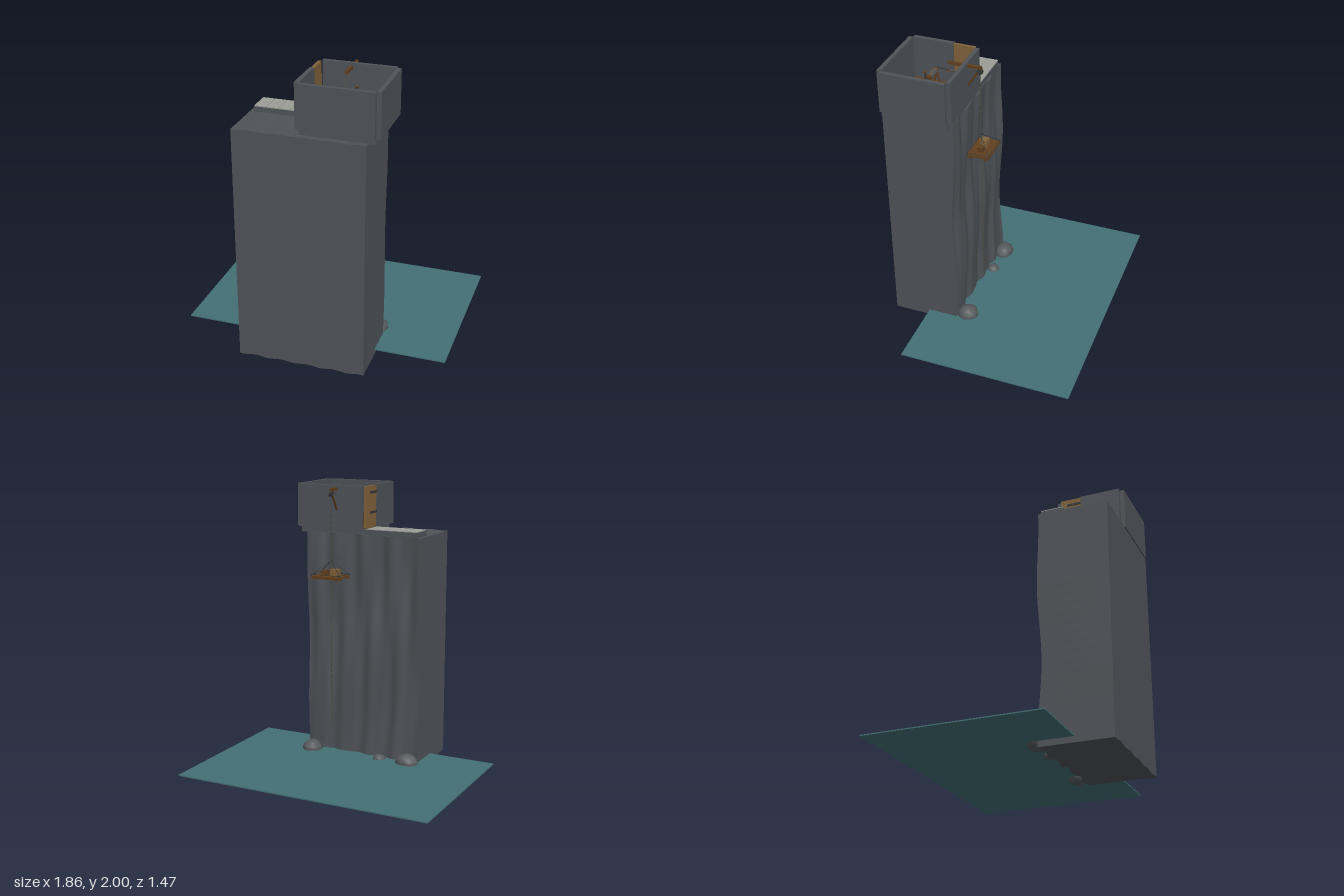
import * as THREE from 'three';

const paint = (name, color, side = THREE.FrontSide) => {
  const m = new THREE.MeshStandardMaterial({ color, side });
  m.name = name;
  return m;
};

export function createModel() {
  const model = new THREE.Group();
  model.name = 'cliffLookout';
  const stone = paint('slate stone', 0x4f5358);
  const rock = paint('boulder grey', 0x56595c);
  const tile = paint('pale paving', 0x9c9e97);
  const wood = paint('brown planks', 0x613f1e);
  const lightWood = paint('door wood', 0x80613a);
  const iron = paint('dark iron', 0x35373a);
  const rope = paint('rope grey', 0x55524c);
  const water = paint('teal water', 0x447074);

  const add = (name, geo, mat, parent = model) => {
    const mesh = new THREE.Mesh(geo, mat);
    mesh.name = name;
    parent.add(mesh);
    return mesh;
  };
  // box given by its lower and upper corner
  const box = (name, mat, [x0, y0, z0], [x1, y1, z1], parent) => {
    const mesh = add(name, new THREE.BoxGeometry(x1 - x0, y1 - y0, z1 - z0), mat, parent);
    mesh.position.set((x0 + x1) / 2, (y0 + y1) / 2, (z0 + z1) / 2);
    return mesh;
  };
  // round bar between two points
  const bar = (name, mat, a, b, r, parent, sides = 8) => {
    const p = new THREE.Vector3(...a), q = new THREE.Vector3(...b);
    const mesh = add(name, new THREE.CylinderGeometry(r, r, p.distanceTo(q), sides), mat, parent);
    mesh.position.copy(p).add(q).multiplyScalar(0.5);
    mesh.quaternion.setFromUnitVectors(new THREE.Vector3(0, 1, 0), q.sub(p).normalize());
    return mesh;
  };
  const group = (name) => {
    const g = new THREE.Group();
    g.name = name;
    model.add(g);
    return g;
  };

  // Water sheet
  box('waterSheet', water, [-0.93, 0.047, -0.735], [0.93, 0.055, 0.47]);

  // Cliff: a block with a fluted rear face and rippled top and bottom
  const cliffGeo = new THREE.BoxGeometry(0.88, 1.65, 0.49, 40, 24, 1);
  cliffGeo.translate(0, 0.835, 0.485);
  const pos = cliffGeo.attributes.position;
  for (let i = 0; i < pos.count; i++) {
    const x = pos.getX(i), y = pos.getY(i);
    if (pos.getZ(i) < 0.4) {
      const flutes = 0.009 * Math.sin(x * 31 + 1.2 * Math.sin(y * 2.6));
      const swell = 0.009 * Math.sin(y * 6.5 + x * 5) + 0.004 * Math.sin(x * 57 + y * 3);
      pos.setZ(i, 0.246 + flutes + swell);
    }
    const ripple = 0.004 * Math.sin(x * 34);
    if (y < 0.02) pos.setY(i, 0.009 + ripple * 1.2);
    if (y > 1.65) pos.setY(i, 1.66 + ripple * 0.6);
  }
  cliffGeo.computeVertexNormals();
  add('cliff', cliffGeo, stone);

  // Boulders at the waterline
  const boulders = [
    [-0.372, 0.062, 0.2, 0.085, 0.06, 0.068],
    [-0.155, 0.05, 0.205, 0.047, 0.036, 0.045],
    [0.383, 0.062, 0.195, 0.073, 0.058, 0.075],
  ];
  boulders.forEach(([x, y, z, sx, sy, sz], n) => {
    const geo = new THREE.SphereGeometry(1, 12, 8);
    const p = geo.attributes.position;
    for (let i = 0; i < p.count; i++) {
      const k = 1 + 0.06 * Math.sin(p.getX(i) * 4 + n * 2) * Math.cos(p.getY(i) * 3 + p.getZ(i) * 4);
      p.setXYZ(i, p.getX(i) * k, p.getY(i) * k, p.getZ(i) * k);
    }
    geo.computeVertexNormals();
    const b = add('boulder', geo, rock);
    b.position.set(x, y, z);
    b.scale.set(sx, sy, sz);
  });

  // Paved path leading to the door
  const path = group('path');
  box('pathBed', stone, [-0.41, 1.655, 0.25], [0, 1.695, 0.41], path);
  for (let c = 0; c < 5; c++) {
    for (let r = 0; r < 2; r++) {
      const x = -0.41 + c * 0.083, z = 0.25 + r * 0.08;
      box('pavingTile', tile, [x + 0.001, 1.695, z + 0.001],
        [Math.min(x + 0.081, -0.03), 1.701, z + 0.079], path);
    }
  }

  // Lookout: footing, plank floor and four overlapping walls
  const tower = group('lookout');
  box('footing', stone, [0, 1.655, 0.25], [0.49, 1.698, 0.69], tower);
  for (let i = 0; i < 6; i++) {
    const x = i * 0.49 / 6;
    box('floorPlank', wood, [x + 0.001, 1.698, 0.25], [x + 0.0805, 1.706, 0.69], tower);
  }
  box('rearWall', stone, [0, 1.697, 0.222], [0.49, 2, 0.25], tower);
  box('frontWall', stone, [0, 1.697, 0.69], [0.49, 2, 0.72], tower);
  box('leftWall', stone, [0.49, 1.697, 0.25], [0.52, 2, 0.69], tower);
  box('rightWall', stone, [-0.03, 1.697, 0.405], [0, 2, 0.69], tower);

  // Plank door with iron hinges
  const door = group('door');
  for (let i = 0; i < 4; i++) {
    const z = 0.255 + i * 0.0375;
    box('doorPlank', lightWood, [-0.027, 1.702, z], [-0.003, 1.995, z + 0.0355], door);
  }
  for (const y of [1.81, 1.95]) {
    box('hinge', iron, [-0.032, y - 0.008, 0.3], [-0.026, y + 0.008, 0.405], door);
  }

  // Hoist arm, brace and pulley over the rear wall
  const CX = 0.195, CZ = 0.142;
  const hoist = group('hoist');
  box('hoistBeam', wood, [CX - 0.009, 1.963, 0.13], [CX + 0.009, 1.983, 0.36], hoist);
  bar('hoistBrace', wood, [CX, 1.825, 0.23], [CX, 1.965, 0.14], 0.008, hoist);
  bar('pulley', iron, [CX - 0.01, 1.945, CZ], [CX + 0.01, 1.945, CZ], 0.02, hoist, 16);
  bar('feedRope', rope, [CX, 1.96, CZ], [CX, 1.885, 0.45], 0.003, hoist, 6);

  // Hanging chain of alternating links
  const chain = group('chain');
  const link = new THREE.TorusGeometry(0.006, 0.0018, 4, 8);
  link.scale(0.75, 2, 1);
  for (let i = 0, y = 1.93; y > 0.275; i++, y -= 0.0205) {
    const l = add('chainLink', link, rope, chain);
    l.position.set(CX, y, CZ);
    l.rotation.y = (i % 2) * Math.PI / 2;
  }

  // Winch with drum, rope coils and cranks
  const winch = group('winch');
  const WY = 1.87, WZ = 0.475;
  for (const x of [0.125, 0.275]) {
    for (const s of [-1, 1]) {
      bar('winchLeg', wood, [x, 1.704, WZ + s * 0.03], [x, WY, WZ], 0.007, winch);
    }
  }
  bar('winchAxle', iron, [0.108, WY, WZ], [0.3, WY, WZ], 0.006, winch);
  bar('winchDrum', wood, [0.135, WY, WZ], [0.265, WY, WZ], 0.017, winch, 12);
  for (let i = 0; i < 9; i++) {
    const coil = add('ropeCoil', new THREE.TorusGeometry(0.019, 0.004, 6, 14), rope, winch);
    coil.rotation.y = Math.PI / 2;
    coil.position.set(0.16 + i * 0.01, WY, WZ);
  }
  bar('crankArm', iron, [0.11, WY, WZ], [0.11, WY, 0.39], 0.005, winch);
  bar('crankHandle', wood, [0.11, WY, 0.39], [0.14, WY, 0.39], 0.006, winch);
  bar('crankArm', iron, [0.3, WY, WZ], [0.3, 1.935, WZ], 0.005, winch);
  bar('crankHandle', wood, [0.29, 1.935, WZ], [0.315, 1.935, WZ], 0.007, winch);

  // Lift platform: boards on two bearers, slings, rope rail and cargo
  const lift = group('lift');
  const X0 = 0.08, X1 = 0.31, Z0 = 0.05, Z1 = 0.2;
  for (let i = 0; i < 5; i++) {
    const x = X0 + i * 0.046;
    box('liftBoard', wood, [x + 0.001, 1.364, Z0], [x + 0.045, 1.376, Z1], lift);
  }
  for (const z of [0.065, 0.17]) {
    box('liftBearer', wood, [X0, 1.353, z], [X1, 1.364, z + 0.016], lift);
  }
  const corners = [[X0, Z0], [X1, Z0], [X1, Z1], [X0, Z1]]
    .map(([x, z]) => [x + (x < 0.2 ? 0.004 : -0.004), z + (z < 0.1 ? 0.003 : -0.003)]);
  corners.forEach(([x, z], i) => {
    const [nx, nz] = corners[(i + 1) % 4];
    bar('sling', iron, [x, 1.385, z], [CX, 1.48, CZ], 0.0022, lift, 6);
    bar('railRope', iron, [x, 1.386, z], [nx, 1.386, nz], 0.0022, lift, 6);
    bar('railPost', iron, [x, 1.374, z], [x, 1.388, z], 0.003, lift, 6);
  });
  add('liftRing', new THREE.TorusGeometry(0.006, 0.002, 6, 10), iron, lift).position.set(CX, 1.484, CZ);
  box('crate', lightWood, [0.13, 1.376, 0.106], [0.185, 1.421, 0.16], lift);
  box('smallCrate', wood, [0.215, 1.376, 0.11], [0.255, 1.41, 0.15], lift);

  return model;
}
